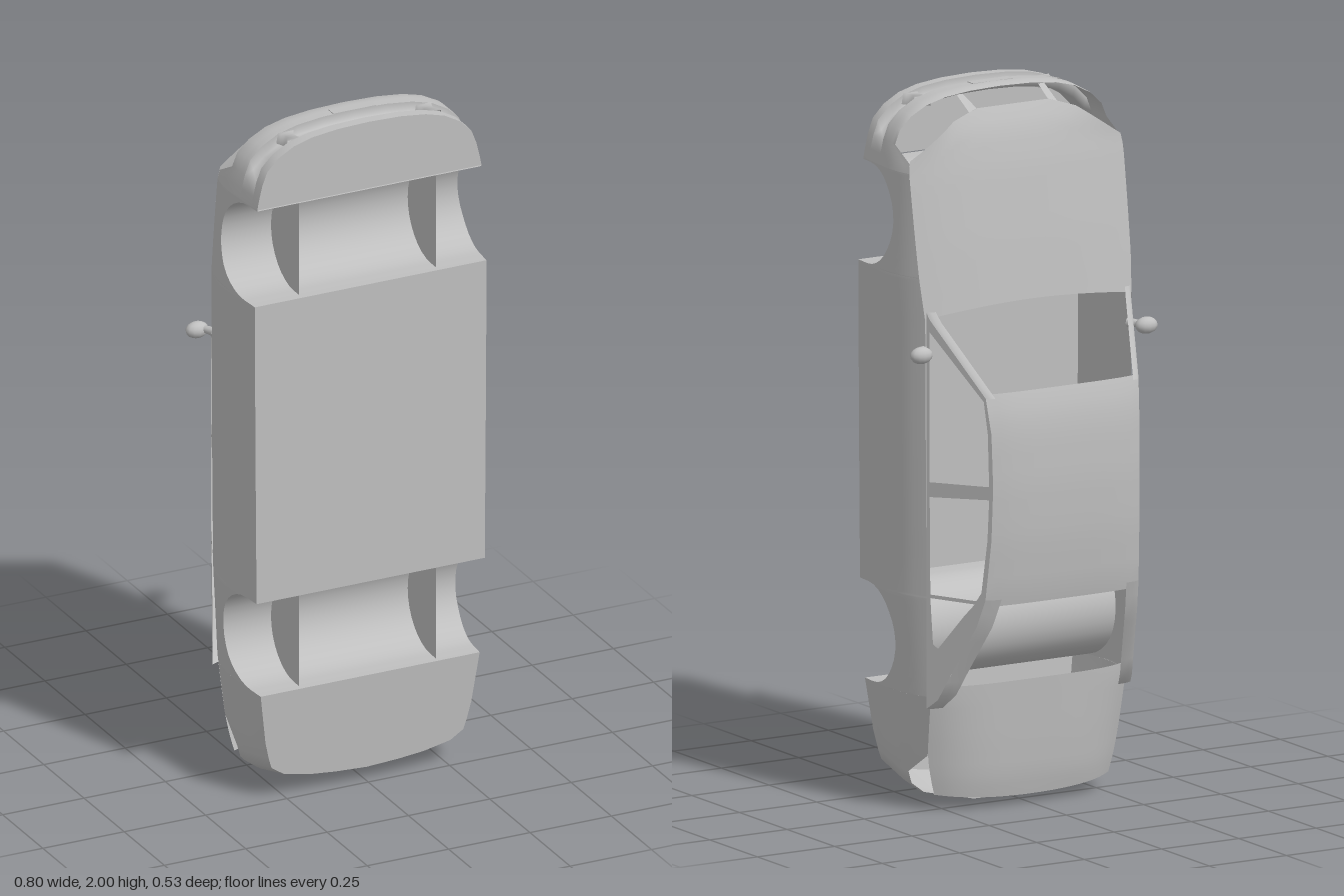
import * as THREE from 'three';

// Car body shell standing on its tail: y runs tail to nose, the roof faces -z.
const paint = new THREE.MeshStandardMaterial({ color: 0xbfbfbf, side: THREE.DoubleSide });
paint.name = 'plain grey';

// Linear interpolation in a table of [key, value] pairs
function look(table, k) {
  if (k <= table[0][0]) return table[0][1];
  for (let i = 1; i < table.length; i++) {
    const [a, va] = table[i - 1], [b, vb] = table[i];
    if (k <= b) return va + (vb - va) * (k - a) / (b - a);
  }
  return table[table.length - 1][1];
}
const range = (n, f) => Array.from({ length: n + 1 }, (_, i) => f(i / n));
const lerp = (a, b, t) => a + (b - a) * t;

// Half width along the length, from tail centre to nose centre
const plan = [[0, 0], [0.006, 0.1], [0.015, 0.18], [0.035, 0.265], [0.065, 0.305], [0.1, 0.315], [0.16, 0.328],
  [0.33, 0.35], [0.61, 0.365], [1, 0.368], [1.5, 0.371], [1.8, 0.358], [1.83, 0.352], [1.87, 0.342],
  [1.91, 0.326], [1.945, 0.29], [1.972, 0.24], [1.988, 0.18], [1.997, 0.1], [2, 0]];
const width = (s) => look(plan, s);
const topEdge = [[0.1, 0.07], [0.16, -0.02], [0.33, -0.05], [1.4, -0.05], [1.6, -0.018], [1.83, 0.018], [1.87, 0.095]];
const bottomEdge = [[0, 0.24], [0.33, 0.262], [0.4, 0.265], [1.6, 0.265], [1.8, 0.257]];
const roofEdge = [[0.3, -0.05], [0.33, -0.085], [0.4, -0.12], [0.55, -0.2], [0.63, -0.227], [0.8, -0.245],
  [0.95, -0.25], [1.1, -0.245], [1.2, -0.228], [1.4, -0.06], [1.42, -0.05]];
const cabinX = (z) => 0.33 + (z + 0.05) * 0.465;

// Body surface: sides tuck in above and below, nose and tail lean
function skin(x, s, z) {
  const f = z > 0.1 ? 1 - 0.24 * (z - 0.1) : 1 - 4.4 * (0.1 - z) ** 2;
  let y = s;
  if (s < 0.3 && z > 0.1) y += (z - 0.1) * 0.3 * (1 - s / 0.3);
  if (s > 1.8 && z < 0.12) y -= (0.12 - z) * 0.25 * (s - 1.8) / 0.2;
  return [x * f, y, z];
}

function mesh(name, geometry) {
  const m = new THREE.Mesh(geometry, paint);
  m.name = name;
  return m;
}

// Surface through rows of points
function loft(name, rows) {
  const n = rows[0].length, index = [];
  for (let i = 0; i < rows.length - 1; i++) {
    for (let j = 0; j < n - 1; j++) {
      const a = i * n + j, b = a + n;
      index.push(a, b, a + 1, b, b + 1, a + 1);
    }
  }
  const g = new THREE.BufferGeometry();
  g.setAttribute('position', new THREE.Float32BufferAttribute(rows.flat(2), 3));
  g.setIndex(index);
  g.computeVertexNormals();
  return mesh(name, g);
}

// Wheel arch outline as [s, z], including its short straight legs
function arch(c) {
  const r = 0.142, legs = (s) => [s, look(bottomEdge, s)];
  return [legs(c - r), ...range(16, (t) => {
    const a = Math.PI * t;
    return [c - r * Math.cos(a), 0.212 - r * Math.sin(a)];
  }), legs(c + r)];
}

export function createModel() {
  const car = new THREE.Group();
  car.name = 'carBody';
  const add = (...m) => car.add(...m);
  const rear = arch(0.472), front = arch(1.655);
  const top = (s) => look(topEdge, s), low = (s) => look(bottomEdge, s);

  // Doors and wings, with the arches cut into the lower edge
  const line = [[0.33, low(0.33)], ...rear, ...range(8, (t) => [lerp(0.62, 1.505, t), 0.265]), ...front, [1.8, low(1.8)]];
  for (const k of [-1, 1]) {
    add(loft('sidePanel', line.map(([s, z]) => range(8, (v) => skin(k * width(s), s, lerp(top(s), z, v))))));
  }

  // Wheel wells with inner plates
  for (const a of [rear, front]) {
    add(loft('wheelWell', a.map(([s, z]) => [-1, 1].map((k) => skin(k * width(s), s, z)))));
    for (const x of [-0.21, 0.21]) {
      add(loft('wheelWellPlate', a.map(([s, z]) => [[x, s, Math.min(z, 0.245)], [x, s, 0.245]])));
    }
  }

  // Underside
  const under = (name, list) => add(loft(name, list.map((s) => [-1, 1].map((k) => skin(k * width(s), s, low(s))))));
  const keys = plan.map((p) => p[0]);
  under('floor', range(6, (t) => lerp(0.614, 1.513, t)));
  under('rearUnderside', keys.filter((s) => s <= 0.33));
  under('frontUnderside', keys.filter((s) => s >= 1.8));

  // Rear bumper wraps round the tail
  const tail = plan.filter((p) => p[0] <= 0.33).map(([s, x]) => [x, s]);
  const tailPath = [...tail.slice(1).reverse().map(([x, s]) => [-x, s]), ...tail];
  add(loft('rearBumper', tailPath.map(([x, s]) => range(8, (v) => skin(x, s, lerp(top(s), low(s), v))))));

  // Front bumper with a long recessed intake
  const nose = plan.filter((p) => p[0] >= 1.8).map(([s, x]) => [x, s]);
  const nosePath = [...nose.map(([x, s]) => [-x, s]), ...nose.slice(0, -1).reverse()];
  add(loft('frontBumperTop', nosePath.map(([x, s]) => range(5, (v) => skin(x, s, lerp(top(s), 0.165, v))))));
  add(loft('frontBumperLip', nosePath.map(([x, s]) => range(2, (v) => skin(x, s, lerp(0.225, low(s), v))))));
  add(loft('frontIntake', nosePath.map(([x, s]) => {
    const d = Math.abs(x) < 0.33 ? 0.03 : 0;
    return [[0, 0.165], [d, 0.165], [d, 0.225], [0, 0.225]].map(([e, z]) => skin(x * (1 - e), s - e, z));
  })));
  for (const k of [-1, 1]) {
    add(loft('intakeStrut', range(6, (v) => {
      const w = 0.013 + 0.03 * Math.abs(v - 0.5) ** 1.5;
      return [[-w - 0.005, 1.945], [-w, 1.975], [w, 1.975], [w + 0.005, 1.945]].map(([x, y]) => [k * 0.212 + x, y, lerp(0.165, 0.225, v)]);
    })));
  }
  const plate = mesh('plateHolder', new THREE.BoxGeometry(0.13, 0.008, 0.03));
  plate.position.set(0, 1.996, 0.15);
  add(plate);

  // Bonnet, cut back at the corners for the headlights
  const bonnetLine = [[1.4, -0.074], [1.6, -0.048], [1.8, -0.016], [1.9, 0.008], [1.955, 0.035]];
  const bonnetAt = (t, v) => {
    const start = 1.425 - 0.025 * t * t;
    const end = look([[0.12, 1.955], [0.2, 1.93], [0.345, 1.835]], Math.abs(0.345 * t));
    const s = lerp(start, end, v), edge = look(topEdge.slice(0, -1), s);
    const x = skin(width(Math.min(s, 1.84)), 1, edge)[0] * t;
    return [x, s, lerp(look(bonnetLine, s), edge, Math.abs(t) ** 3)];
  };
  add(loft('bonnet', range(16, (v) => range(24, (t) => bonnetAt(2 * t - 1, v)))));
  for (const k of [-1, 1]) {
    add(loft('grillePost', [0.34, 0.42].map((t, i) => [bonnetAt(k * t, 1), [k * (0.122 + 0.02 * i), 1.985, 0.097]])));
  }

  // Boot lid and the panel between the tail lamps
  const bootLine = [[0.03, -0.06], [0.08, -0.073], [0.2, -0.086], [0.36, -0.1]];
  const bootEdge = [[0.03, -0.012], [0.16, -0.02], [0.33, -0.05]];
  const bootAt = (t, v) => {
    const s = lerp(0.36, 0.025 + 0.02 * t * t, v), edge = look(bootEdge, s);
    const x = skin(width(Math.max(s, 0.06)), 1, edge)[0] * t;
    return [x, s, lerp(look(bootLine, s), edge, t ** 4)];
  };
  add(loft('bootLid', range(10, (v) => range(24, (t) => bootAt(2 * t - 1, v)))));
  add(loft('tailPanel', range(8, (t) => {
    const p = bootAt((2 * t - 1) * 0.52, 1), q = [p[0], 0.008, 0.07];
    return [p, [p[0], 0.016, 0], q];
  })));

  // Roof
  add(loft('roof', range(14, (v) => {
    const s = lerp(0.61, 1.21, v), z = look(roofEdge, s);
    return range(16, (u) => {
      const t = 2 * u - 1;
      return [cabinX(z) * t, s, z - 0.015 * (1 - t ** 4)];
    });
  })));

  // Side window frames, drawn in side elevation and leaned inwards
  const shape = new THREE.Shape(roofEdge.map(([s, z]) => new THREE.Vector2(s, -z)));
  const windows = [
    [[1.365, 0.06], [1.19, 0.222], [1.1, 0.234], [0.952, 0.238], [0.942, 0.06]],
    [[0.9, 0.06], [0.915, 0.238], [0.8, 0.233], [0.65, 0.215], [0.625, 0.2], [0.625, 0.062]],
    [[0.615, 0.062], [0.615, 0.195], [0.58, 0.165], [0.475, 0.085], [0.485, 0.07]]];
  shape.holes = windows.map((w) => new THREE.Path(w.map(([s, h]) => new THREE.Vector2(s, h))));
  for (const k of [-1, 1]) {
    const g = new THREE.ShapeGeometry(shape), p = g.attributes.position;
    for (let i = 0; i < p.count; i++) {
      const s = p.getX(i), z = -p.getY(i);
      p.setXYZ(i, k * cabinX(z), s, z);
    }
    g.computeVertexNormals();
    add(mesh('sideWindowFrame', g));

    // Windscreen and rear window pillars
    const pillar = (name, a, b, w) => add(loft(name, range(8, (v) => {
      const s = lerp(a, b, v), z = look(roofEdge, s), x = cabinX(z);
      return [[k * x, s, z], [k * (x - w * 0.4), s, z - 0.008], [k * (x - w), s, z - 0.011]];
    })));
    pillar('windscreenPillar', 1.2, 1.42, 0.024);
    pillar('rearPillar', 0.3, 0.63, 0.046);

    // Door mirror on a short arm
    const shell = mesh('mirror', new THREE.SphereGeometry(1, 12, 8));
    shell.scale.set(0.034, 0.024, 0.024);
    shell.position.set(k * 0.364, 1.308, -0.079);
    const arm = mesh('mirrorArm', new THREE.CylinderGeometry(0.009, 0.014, 0.045, 8));
    arm.position.set(k * 0.342, 1.312, -0.056);
    arm.rotation.set(-Math.PI / 2, 0, -k * 0.5);
    add(shell, arm);
  }
  return car;
}
